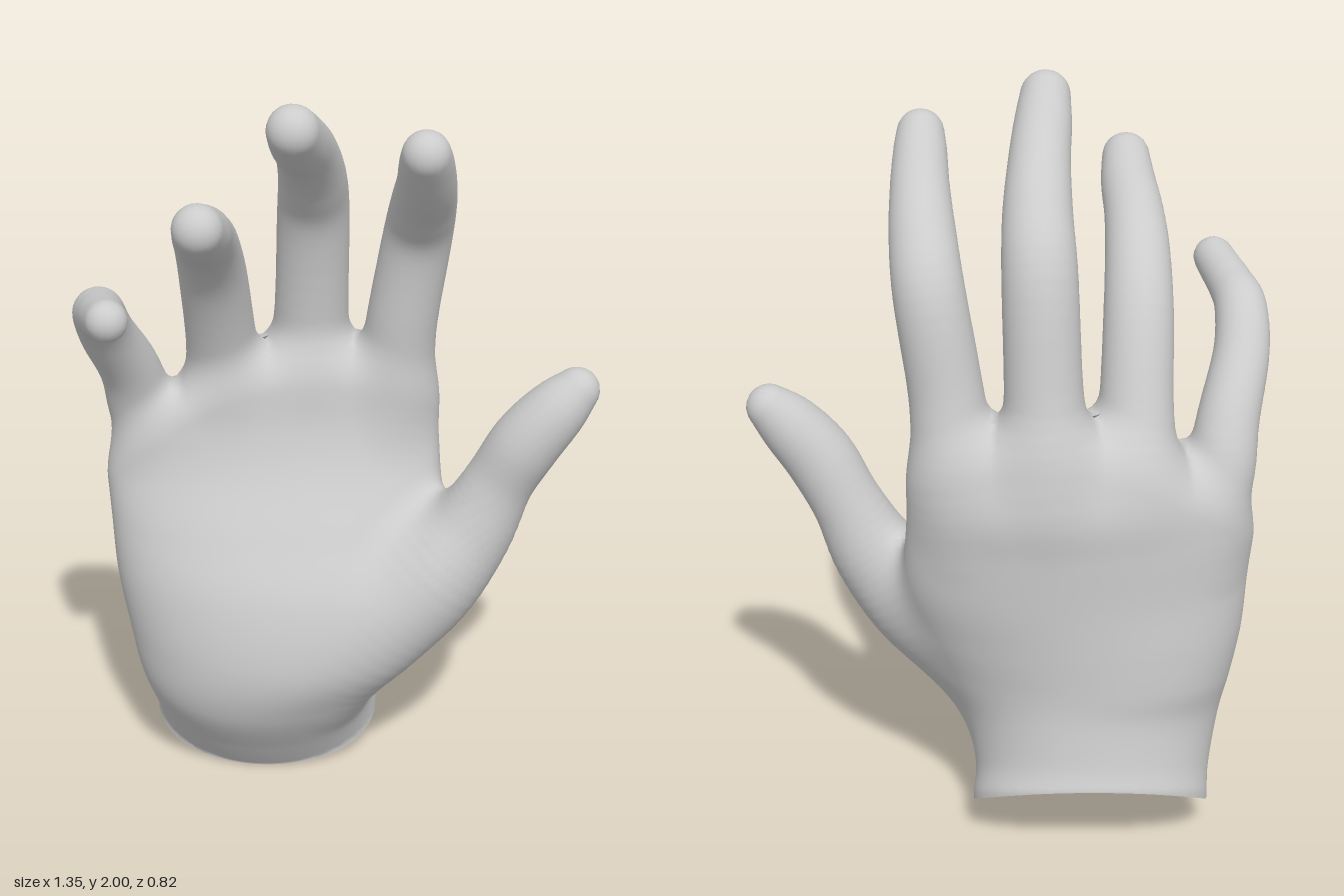
import * as THREE from 'three';

const skin = new THREE.MeshStandardMaterial({ color: 0xcccccc, side: THREE.DoubleSide });

// Smoothly sample rows of numbers at t in 0..1
function sample(rows, t) {
  const f = t * (rows.length - 1), i = Math.min(Math.floor(f), rows.length - 2), u = f - i;
  const at = n => rows[Math.max(0, Math.min(rows.length - 1, n))];
  return rows[0].map((_, c) => {
    const p0 = at(i - 1)[c], p1 = at(i)[c], p2 = at(i + 1)[c], p3 = at(i + 2)[c];
    return p1 + 0.5 * u * (p2 - p0 + u * (2 * p0 - 5 * p1 + 4 * p2 - p3 + u * (3 * (p1 - p2) + p3 - p0)));
  });
}
const refine = (rows, n) => Array.from({ length: n + 1 }, (_, i) => sample(rows, i / n));

// Rounded union and intersection of two distances
function blend(a, b, k) {
  const h = Math.max(k - Math.abs(a - b), 0) / k;
  return Math.min(a, b) - h * h * k / 4;
}
const trim = (a, b, k) => -blend(-a, -b, k);

// Palm cross-sections: [y, xMin, xMax, zFront, zBack, slant of section, sideways tilt, cupping]
const palm = refine([
  [0.125, -0.54, 0.09, -0.02, -0.41, 0.64, 0, 0],
  [0.20, -0.545, 0.085, 0.045, -0.39, 0.5, 0, 0],
  [0.33, -0.57, 0.12, 0.14, -0.37, 0.35, 0, 0],
  [0.45, -0.595, 0.19, 0.175, -0.365, 0.2, -0.02, 0],
  [0.60, -0.62, 0.25, 0.14, -0.365, 0.05, -0.01, 0.01],
  [0.75, -0.63, 0.27, 0.06, -0.367, 0, 0.02, 0.02],
  [0.90, -0.64, 0.26, -0.02, -0.372, 0, 0.04, 0.035],
  [1.02, -0.635, 0.25, -0.06, -0.375, 0, 0.055, 0.05],
  [1.15, -0.615, 0.24, -0.08, -0.34, 0, 0.06, 0.05],
  [1.30, -0.60, 0.23, -0.11, -0.29, 0, 0.06, 0.05],
], 128);

// Digits from inside the palm to the tip: [x, y, z, radius]
const digits = {
  indexFinger: [
    [0.09, 0.90, -0.22, 0.08], [0.13, 1.10, -0.225, 0.102], [0.152, 1.30, -0.20, 0.094],
    [0.19, 1.54, -0.168, 0.09], [0.207, 1.66, -0.085, 0.084], [0.216, 1.75, 0.02, 0.075],
    [0.217, 1.82, 0.095, 0.068], [0.217, 1.86, 0.14, 0.06]],
  middleFinger: [
    [-0.11, 0.90, -0.23, 0.08], [-0.10, 1.10, -0.25, 0.112], [-0.09, 1.32, -0.227, 0.098],
    [-0.08, 1.59, -0.175, 0.094], [-0.075, 1.72, -0.09, 0.087], [-0.08, 1.82, 0.02, 0.078],
    [-0.09, 1.885, 0.13, 0.073], [-0.097, 1.935, 0.215, 0.064]],
  ringFinger: [
    [-0.31, 0.88, -0.20, 0.08], [-0.32, 1.08, -0.20, 0.105], [-0.325, 1.26, -0.15, 0.093],
    [-0.33, 1.46, -0.06, 0.088], [-0.33, 1.58, 0.045, 0.082], [-0.325, 1.645, 0.155, 0.076],
    [-0.315, 1.69, 0.26, 0.071], [-0.312, 1.733, 0.35, 0.062]],
  littleFinger: [
    [-0.50, 0.82, -0.16, 0.07], [-0.54, 1.03, -0.15, 0.088], [-0.563, 1.18, -0.10, 0.08],
    [-0.60, 1.32, 0.0, 0.072], [-0.603, 1.41, 0.09, 0.067], [-0.585, 1.44, 0.17, 0.06],
    [-0.565, 1.458, 0.24, 0.056], [-0.548, 1.474, 0.295, 0.053]],
  thumb: [
    [-0.04, 0.30, -0.05, 0.10], [0.09, 0.46, -0.01, 0.135], [0.225, 0.61, -0.02, 0.145],
    [0.345, 0.76, -0.035, 0.115], [0.42, 0.91, -0.035, 0.092], [0.485, 1.03, -0.022, 0.092],
    [0.555, 1.12, -0.022, 0.082], [0.612, 1.182, -0.03, 0.06]],
};
const names = ['palm', ...Object.keys(digits)];
const bones = Object.values(digits).map(rows => refine(rows, 42));

// Signed distance to the palm and wrist
function palmDistance(x, y, z) {
  const height = r => r[0] - (z - (r[3] + r[4]) / 2) * r[5];
  let lo = 0, hi = palm.length - 1;
  while (hi - lo > 1) {
    const mid = (lo + hi) >> 1;
    if (height(palm[mid]) > y) hi = mid; else lo = mid;
  }
  const a = palm[lo], b = palm[hi];
  const t = THREE.MathUtils.clamp((y - height(a)) / (height(b) - height(a)), 0, 1);
  const mix = c => a[c] + (b[c] - a[c]) * t;
  const w = (mix(2) - mix(1)) / 2, h = (mix(3) - mix(4)) / 2;
  const s = (x - (mix(1) + mix(2)) / 2) / w, u = Math.abs(s);
  const shift = mix(6) * s - mix(7) * Math.min(s * s, 1.5);
  const v = Math.abs((z - (mix(3) + mix(4)) / 2 + shift) / h);
  const p = 2 + 0.2 * Math.min(1, Math.max(0, y) / 0.7);
  const k0 = Math.pow(Math.pow(u, p) + Math.pow(v, p), 1 / p);
  const side = k0 * (k0 - 1) / (Math.hypot(u / w, v / h) + 1e-6);
  const top = y - 1.235 + 0.9 * (x + 0.08) ** 2; // arched edge between the fingers
  return trim(side, top, 0.1);
}

// Signed distance to a digit: a chain of tapered round segments
function digitDistance(chain, x, y, z) {
  let best = Infinity;
  for (let i = 0; i < chain.length - 1; i++) {
    const a = chain[i], b = chain[i + 1];
    const bx = b[0] - a[0], by = b[1] - a[1], bz = b[2] - a[2];
    const px = x - a[0], py = y - a[1], pz = z - a[2];
    const t = Math.max(0, Math.min(1, (px * bx + py * by + pz * bz) / (bx * bx + by * by + bz * bz)));
    const dx = px - bx * t, dy = py - by * t, dz = pz - bz * t;
    best = Math.min(best, Math.sqrt(dx * dx + dy * dy + dz * dz) - a[3] - (b[3] - a[3]) * t);
  }
  return best;
}

const distances = (x, y, z) => [palmDistance(x, y, z), ...bones.map(c => digitDistance(c, x, y, z))];

// The whole hand: fingers and thumb flow into the palm
function handDistance(x, y, z) {
  const [base, index, middle, ring, little, thumb] = distances(x, y, z);
  return blend(blend(base, Math.min(index, middle, ring, little), 0.07), thumb, 0.09);
}

function slope(p, e) {
  const f = handDistance;
  return new THREE.Vector3(
    f(p.x + e, p.y, p.z) - f(p.x - e, p.y, p.z),
    f(p.x, p.y + e, p.z) - f(p.x, p.y - e, p.z),
    f(p.x, p.y, p.z + e) - f(p.x, p.y, p.z - e)).divideScalar(2 * e);
}

// Height of the slanted, slightly bowed wrist opening
function wristCut(z) {
  const t = -(z + 0.02) / 0.39;
  return 0.25 * t * (t > 0 ? 0.6 + 0.4 * t : 0.6);
}

export function createModel() {
  const step = 0.016, min = [-0.72, -0.06, -0.46], n = [91, 133, 59];
  const stride = [1, n[0], n[0] * n[1]];
  const at = (c, i) => min[c] + i * step;
  const field = new Float32Array(n[0] * n[1] * n[2]);
  const eachCell = fn => {
    for (let k = 0; k < n[2]; k++)
      for (let j = 0; j < n[1]; j++)
        for (let i = 0; i < n[0]; i++) fn([i, j, k], i + j * stride[1] + k * stride[2]);
  };
  eachCell(([i, j, k], id) => { field[id] = handDistance(at(0, i), at(1, j), at(2, k)); });

  // One vertex per cell the surface crosses, moved onto the surface
  const position = [], normal = [], part = [], below = [], vertex = new Map();
  eachCell((c, id) => {
    if (c.some((v, a) => v === n[a] - 1)) return;
    let inside = 0;
    for (let m = 0; m < 8; m++)
      if (field[id + (m & 1) + (m >> 1 & 1) * stride[1] + (m >> 2) * stride[2]] < 0) inside++;
    if (inside === 0 || inside === 8) return;
    const p = new THREE.Vector3(...c.map((v, a) => at(a, v + 0.5)));
    for (let pass = 0; pass < 3; pass++) {
      const g = slope(p, 0.004);
      p.addScaledVector(g, -handDistance(p.x, p.y, p.z) / Math.max(g.lengthSq(), 0.1));
    }
    const d = distances(p.x, p.y, p.z), g = slope(p, 0.012).normalize();
    vertex.set(id, part.length);
    part.push(d.indexOf(Math.min(...d)));
    below.push(p.y < wristCut(p.z));
    position.push(p.x, Math.max(p.y, wristCut(p.z)), p.z);
    normal.push(g.x, g.y, g.z);
  });

  // One quad around each grid edge the surface crosses, sorted by part
  const faces = names.map(() => []);
  eachCell((c, id) => {
    for (let a = 0; a < 3; a++) {
      if (c[a] === n[a] - 1 || (field[id] < 0) === (field[id + stride[a]] < 0)) continue;
      const b = stride[(a + 1) % 3], d = stride[(a + 2) % 3];
      const q = [id - b - d, id - d, id, id - b].map(v => vertex.get(v));
      if (q.includes(undefined) || q.every(v => below[v])) continue;
      if (field[id] >= 0) q.reverse();
      faces[part[q[0]]].push(q[0], q[1], q[2], q[0], q[2], q[3]);
    }
  });

  const hand = new THREE.Group();
  hand.name = 'hand';
  const positions = new THREE.Float32BufferAttribute(position, 3);
  const normals = new THREE.Float32BufferAttribute(normal, 3);
  names.forEach((name, i) => {
    const g = new THREE.BufferGeometry();
    g.setAttribute('position', positions);
    g.setAttribute('normal', normals);
    g.setIndex(faces[i]);
    const m = new THREE.Mesh(g, skin);
    m.name = name;
    hand.add(m);
  });
  return hand;
}
